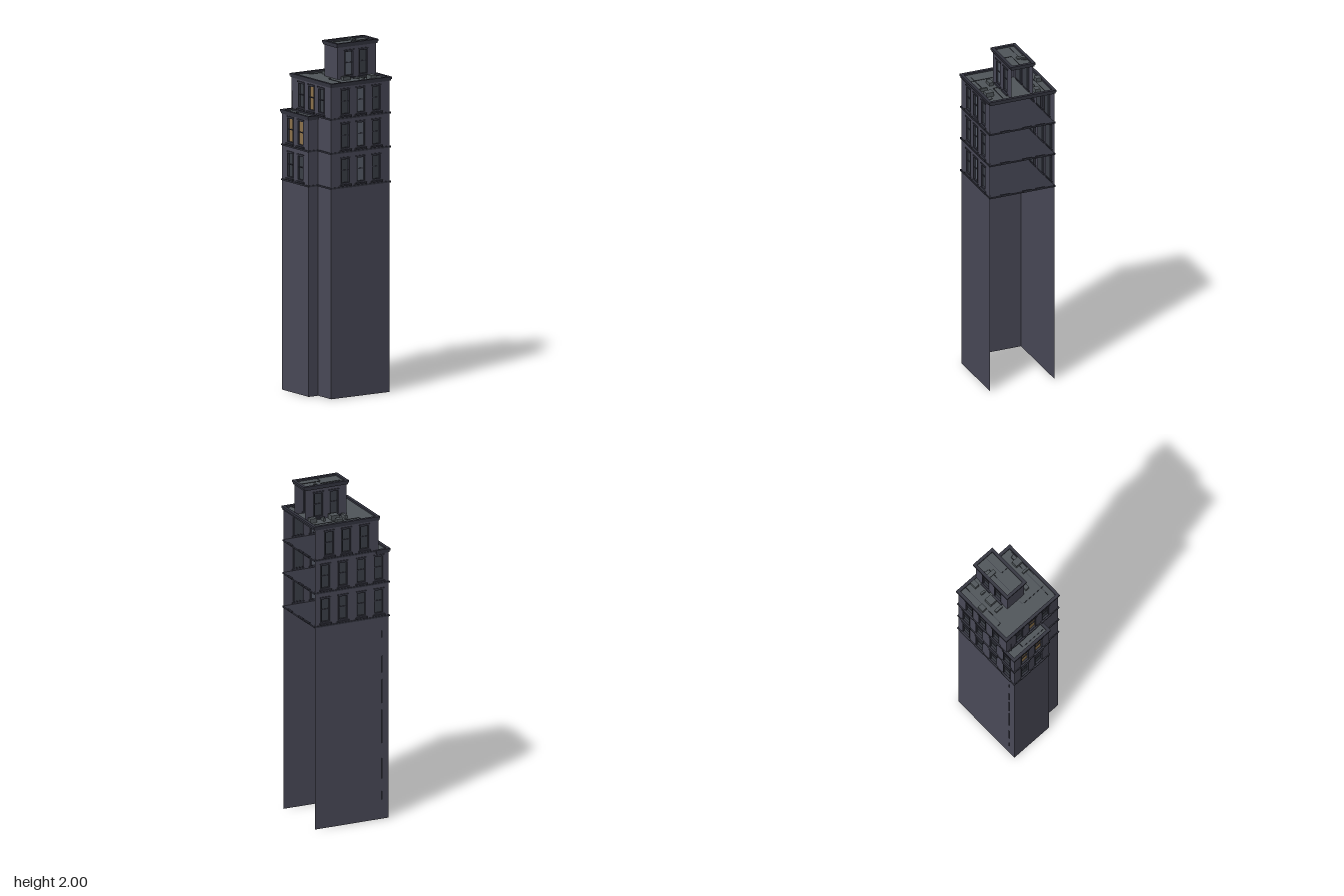
import * as THREE from 'three';

const mat = (color) => new THREE.MeshStandardMaterial({ color, side: THREE.DoubleSide });
const WALL = mat(0x4a4a58), TRIM = mat(0x33343f), ROOF = mat(0x50565a);
const GLASS = mat(0x3c4048), PALE = mat(0x5a606c), LIT = mat(0x8f744c);

const X0 = -0.232, XS = -0.168, X1 = 0.23, ZB = -0.198, ZS = 0.068, ZF = 0.198;
const WIN_W = 0.06, WIN_H = 0.145;

function mesh(parent, name, geometry, material, x = 0, y = 0, z = 0) {
  const m = new THREE.Mesh(geometry, material);
  m.name = name;
  m.position.set(x, y, z);
  parent.add(m);
  return m;
}
function box(parent, name, w, h, d, x, y, z, material = TRIM) {
  return mesh(parent, name, new THREE.BoxGeometry(w, h, d), material, x, y, z);
}
function polygon(points) {
  return new THREE.Shape(points.map(([x, y]) => new THREE.Vector2(x, y)));
}
const rect = (a, b, c, d) => [[a, b], [c, b], [c, d], [a, d]];

// Window: recessed pane, frame, middle rail and projecting sill
function addWindow(parent, u, y, paneMaterial) {
  const g = new THREE.Group();
  g.name = 'window';
  g.position.set(u, y, 0);
  parent.add(g);
  box(g, 'pane', WIN_W, WIN_H, 0.002, 0, WIN_H / 2, -0.01, paneMaterial);
  for (const s of [-1, 1]) {
    box(g, 'jamb', 0.006, WIN_H, 0.014, s * (WIN_W / 2 - 0.003), WIN_H / 2, -0.005);
    box(g, 'frameRail', WIN_W, 0.006, 0.014, 0, WIN_H / 2 + s * (WIN_H / 2 - 0.003), -0.005);
  }
  box(g, 'middleRail', WIN_W, 0.005, 0.006, 0, WIN_H * 0.52, -0.007);
  box(g, 'sill', WIN_W + 0.014, 0.009, 0.016, 0, -0.008, 0.002);
  box(g, 'lintel', WIN_W + 0.008, 0.006, 0.008, 0, WIN_H + 0.004, 0.001);
}

// Thin wall in its own plane; windows are [centre, sill height, pane material]
function addWall(parent, name, u0, u1, y0, y1, distance, angle, windows = []) {
  const g = new THREE.Group();
  g.name = name;
  g.rotation.y = angle;
  g.position.set(Math.sin(angle) * distance, 0, Math.cos(angle) * distance);
  const shape = polygon(rect(u0, y0, u1, y1));
  for (const [u, y, m] of windows) {
    shape.holes.push(polygon(rect(u - WIN_W / 2, y, u + WIN_W / 2, y + WIN_H)));
    addWindow(g, u, y, m || GLASS);
  }
  mesh(g, name + 'Surface', new THREE.ShapeGeometry(shape), WALL);
  parent.add(g);
}

// Horizontal slab from an x/z outline, with optional opening
function addSlab(parent, name, points, bottom, height, material, hole) {
  const flip = (list) => list.map(([x, z]) => [x, -z]);
  const shape = polygon(flip(points));
  if (hole) shape.holes.push(polygon(flip(hole)));
  const geo = new THREE.ExtrudeGeometry(shape, { depth: height, bevelEnabled: false });
  geo.rotateX(-Math.PI / 2);
  mesh(parent, name, geo, material, 0, bottom, 0);
}

// Flat roof with stepped cornice rim around it
function addRoof(parent, name, x0, z0, x1, z1, top) {
  const r = 0.018;
  addSlab(parent, name + 'Deck', rect(x0 + r, z0 + r, x1 - r, z1 - r), top - 0.014, 0.004, ROOF);
  addSlab(parent, name + 'Cornice', rect(x0, z0, x1, z1), top - 0.013, 0.013, TRIM,
    rect(x0 + r, z0 + r, x1 - r, z1 - r));
  addSlab(parent, name + 'Moulding', rect(x0 + 0.004, z0 + 0.004, x1 - 0.004, z1 - 0.004),
    top - 0.023, 0.01, TRIM, rect(x0 + r, z0 + r, x1 - r, z1 - r));
}

// Thin service pipe running across a roof
function addPipe(parent, y, points) {
  const path = new THREE.CurvePath();
  const v = points.map(([x, z]) => new THREE.Vector3(x, y, z));
  for (let i = 1; i < v.length; i++) path.add(new THREE.LineCurve3(v[i - 1], v[i]));
  mesh(parent, 'roofPipe', new THREE.TubeGeometry(path, 24, 0.0015, 5), TRIM);
}

export function createModel() {
  const tower = new THREE.Group();
  tower.name = 'tower';
  const sills = [1.225, 1.425, 1.62];
  const frontX = [-0.07, 0.033, 0.14];

  // Main walls; the +x side is left open
  addWall(tower, 'frontWall', XS, X1, 0, 1.79, ZF, 0,
    sills.flatMap((y) => frontX.map((x, i) => [x, y, i === 1 ? PALE : GLASS])));
  addWall(tower, 'backWall', -X1, -X0, 0, 1.59, -ZB, Math.PI,
    sills.slice(0, 2).flatMap((y) => [-0.165, -0.055, 0.06, 0.17].map((u) => [u, y])));
  addWall(tower, 'upperBackWall', -X1, -XS, 1.59, 1.79, -ZB, Math.PI,
    [-0.14, -0.033, 0.08].map((u) => [u, sills[2]]));
  addWall(tower, 'sideWall', ZB, ZS, 0, 1.59, -X0, -Math.PI / 2,
    [[-0.115, sills[0]], [-0.012, sills[0]], [-0.115, sills[1], LIT], [-0.012, sills[1], LIT]]);
  addWall(tower, 'sideFrontWall', ZS, ZF, 0, 1.59, -XS, -Math.PI / 2);
  addWall(tower, 'upperSideWall', ZB, ZF, 1.59, 1.79, -XS, -Math.PI / 2,
    [[-0.1, sills[2]], [0, sills[2], LIT], [0.1, sills[2]]]);
  addWall(tower, 'wingFrontWall', X0, XS, 0, 1.59, ZS, 0);

  // Lit room card behind the middle storey side windows
  box(tower, 'litRoom', 0.002, 0.14, 0.17, X0 + 0.018, 1.495, -0.066, LIT);

  // Floor slabs that project as string courses
  const e = 0.005;
  const outline = [[X0 - e, ZB - e], [X1 + e, ZB - e], [X1 + e, ZF + e],
    [XS - e, ZF + e], [XS - e, ZS + e], [X0 - e, ZS + e]];
  for (const y of [1.2, 1.4]) addSlab(tower, 'stringCourse', outline, y, 0.009, TRIM);
  addSlab(tower, 'upperStringCourse', rect(XS - e, ZB - e, X1 + e, ZF + e), 1.595, 0.009, TRIM);

  // Sills along the open side
  for (const y of sills) {
    for (const z of [-0.11, -0.03, 0.105]) box(tower, 'openSideSill', 0.01, 0.008, 0.055, 0.235, y - 0.015, z);
  }

  // Roofs of wing and main block
  addRoof(tower, 'wingRoof', -0.24, -0.207, XS + 0.018, 0.074, 1.605);
  addRoof(tower, 'mainRoof', -0.175, -0.207, 0.24, 0.206, 1.805);

  // Penthouse, also open towards +x
  const pent = new THREE.Group();
  pent.name = 'penthouse';
  tower.add(pent);
  addWall(pent, 'penthouseFront', -0.032, 0.228, 1.79, 1.98, 0.064, 0,
    [[0.045, 1.808, PALE], [0.143, 1.808]]);
  addWall(pent, 'penthouseBack', -0.228, 0.032, 1.79, 1.98, 0.066, Math.PI,
    [[-0.143, 1.808], [-0.045, 1.808]]);
  addWall(pent, 'penthouseSide', -0.066, 0.064, 1.79, 1.98, 0.032, -Math.PI / 2);
  addRoof(pent, 'penthouseRoof', -0.044, -0.078, 0.24, 0.073, 2);

  // Roof equipment: x, z, width, depth, height
  const units = [[0, 0.097, 0.048, 0.026, 0.02], [0.132, 0.162, 0.038, 0.046, 0.026],
    [0.065, 0.164, 0.012, 0.044, 0.018], [0, -0.103, 0.016, 0.048, 0.018],
    [0.065, -0.103, 0.048, 0.044, 0.028], [0.198, -0.102, 0.042, 0.03, 0.026],
    [0.131, -0.102, 0.012, 0.028, 0.018], [0.065, -0.168, 0.038, 0.03, 0.024]];
  for (const [x, z, w, d, h] of units) box(tower, 'roofUnit', w, h, d, x, 1.795 + h / 2, z, ROOF);
  box(pent, 'roofHatch', 0.024, 0.008, 0.05, 0.131, 1.994, -0.036, ROOF);

  // Roof pipes
  addPipe(tower, 1.797, [[-0.07, -0.19], [-0.07, -0.152], [0.05, -0.15], [0.22, -0.15]]);
  addPipe(tower, 1.797, [[-0.045, 0.017], [-0.07, 0.017], [-0.07, 0.185], [0.21, 0.185]]);
  addPipe(tower, 1.797, [[-0.125, 0.16], [0.18, 0.16], [0.187, 0.185]]);
  addPipe(tower, 1.797, [[0.06, 0.075], [0.06, 0.104], [0.22, 0.104]]);
  addPipe(pent, 1.992, [[-0.01, -0.03], [0.16, -0.03], [0.165, -0.06]]);
  addPipe(pent, 1.992, [[0.095, 0.055], [0.095, 0.006], [0.22, 0.006]]);
  addPipe(tower, 1.597, [[-0.18, -0.108], [-0.205, -0.108], [-0.205, 0.05]]);

  // Aerial on the wing roof
  mesh(tower, 'aerial', new THREE.CylinderGeometry(0.0015, 0.0015, 0.11, 6), TRIM, -0.178, 1.655, -0.17);

  // Thin broken conduit down the back corner
  for (const [y, h] of [[1.1, 0.04], [0.92, 0.1], [0.76, 0.14], [0.55, 0.2], [0.3, 0.12], [0.14, 0.05]]) {
    box(tower, 'conduit', 0.004, h, 0.003, -0.19, y, ZB - 0.001);
  }
  return tower;
}
